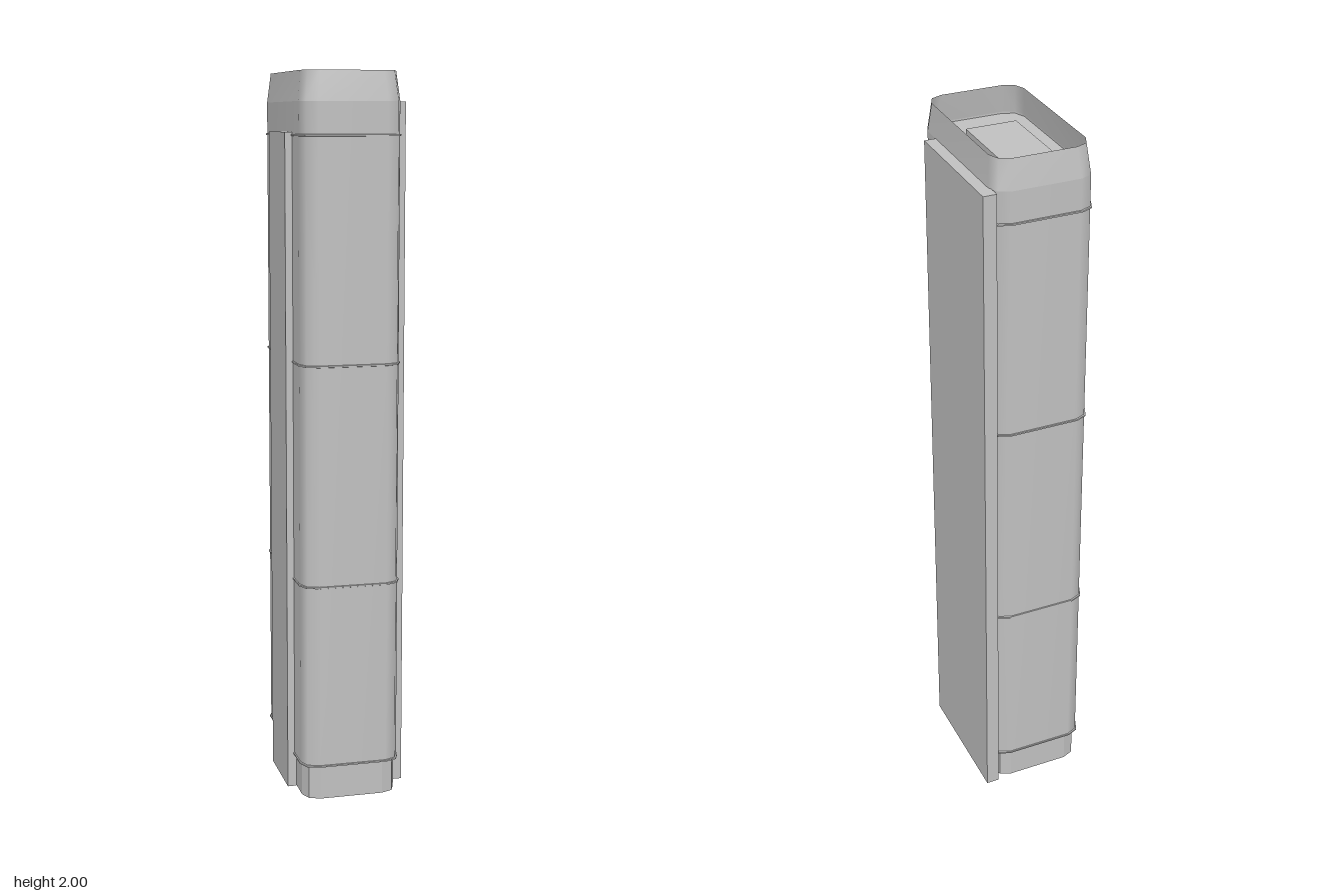
import * as THREE from 'three';

const CX = -0.006, CZ = -0.001;

// Rounded-rectangle outline with two facets per corner, as [x, z] points
function outline(hx, hz, r = 0.044) {
  const pts = [];
  const signs = [[1, 1], [-1, 1], [-1, -1], [1, -1]];
  signs.forEach(([sx, sz], k) => {
    for (let i = 0; i <= 2; i++) {
      const a = (k + i / 2) * Math.PI / 2;
      pts.push([sx * (hx - r) + r * Math.cos(a), sz * (hz - r) + r * Math.sin(a)]);
    }
  });
  return pts;
}

// Wall through a stack of rings [y, halfX, halfZ], lowest first
function wall(rings, faceted = false) {
  const pos = [], idx = [];
  let n = 0;
  for (const [y, hx, hz] of rings) {
    const pts = outline(hx, hz);
    n = pts.length;
    for (const [x, z] of pts) pos.push(x, y, z);
  }
  for (let j = 0; j < rings.length - 1; j++) {
    for (let i = 0; i < n; i++) {
      const a = j * n + i, b = j * n + (i + 1) % n;
      idx.push(a, a + n, b, b, a + n, b + n);
    }
  }
  let geo = new THREE.BufferGeometry();
  geo.setAttribute('position', new THREE.Float32BufferAttribute(pos, 3));
  geo.setIndex(idx);
  if (faceted) geo = geo.toNonIndexed();
  geo.computeVertexNormals();
  return geo;
}

// Flat horizontal panel, facing up or down
function panel(y, hx, hz, up) {
  const shape = new THREE.Shape(outline(hx, hz).map(([x, z]) => new THREE.Vector2(x, z)));
  return new THREE.ShapeGeometry(shape).rotateX(up ? -Math.PI / 2 : Math.PI / 2).translate(0, y, 0);
}

export function createModel() {
  const model = new THREE.Group();
  model.name = 'tower';
  const concrete = new THREE.MeshStandardMaterial({ color: 0xc0c0c0, side: THREE.DoubleSide });
  concrete.name = 'grey concrete';

  const add = (name, geo, x = 0, y = 0, z = 0) => {
    const mesh = new THREE.Mesh(geo, concrete);
    mesh.name = name;
    mesh.position.set(x, y, z);
    model.add(mesh);
  };
  // Box given by its bounds on each axis
  const block = (name, x0, x1, y0, y1, z0, z1) => add(name,
    new THREE.BoxGeometry(x1 - x0, y1 - y0, z1 - z0), (x0 + x1) / 2, (y0 + y1) / 2, (z0 + z1) / 2);

  const HX = 0.139, HZ = 0.241;

  // Hollow base, shaft and tapering open parapet
  add('base', wall([[0, 0.133, 0.232], [0.095, 0.133, 0.232]], true), CX, 0, CZ);
  add('shaft', wall([[0.095, HX, HZ], [1.92, HX, HZ]]), CX, 0, CZ);
  add('parapet', wall([[1.92, HX, HZ], [2, 0.131, 0.227]]), CX, 0, CZ);
  add('underside', panel(0.095, HX, HZ, false), CX, 0, CZ);
  add('roofDeck', panel(1.915, HX, HZ, true), CX, 0, CZ);

  // Thin floor bands around the shaft
  for (const y of [0.098, 0.612, 1.222, 1.832]) {
    add('floorBand', wall([[y - 0.003, HX, HZ], [y - 0.002, HX + 0.003, HZ + 0.003],
      [y + 0.002, HX + 0.003, HZ + 0.003], [y + 0.003, HX, HZ]], true), CX, 0, CZ);
  }

  // Rooftop plant box and the two side slabs
  block('roofBox', -0.077, 0.065, 1.91, 1.95, -0.144, 0.1);
  block('leftSlab', 0.128, 0.165, 0, 1.92, -0.242, 0.14);
  block('rightSlab', -0.165, -0.14, 0, 1.84, -0.083, 0.121);

  return model;
}
